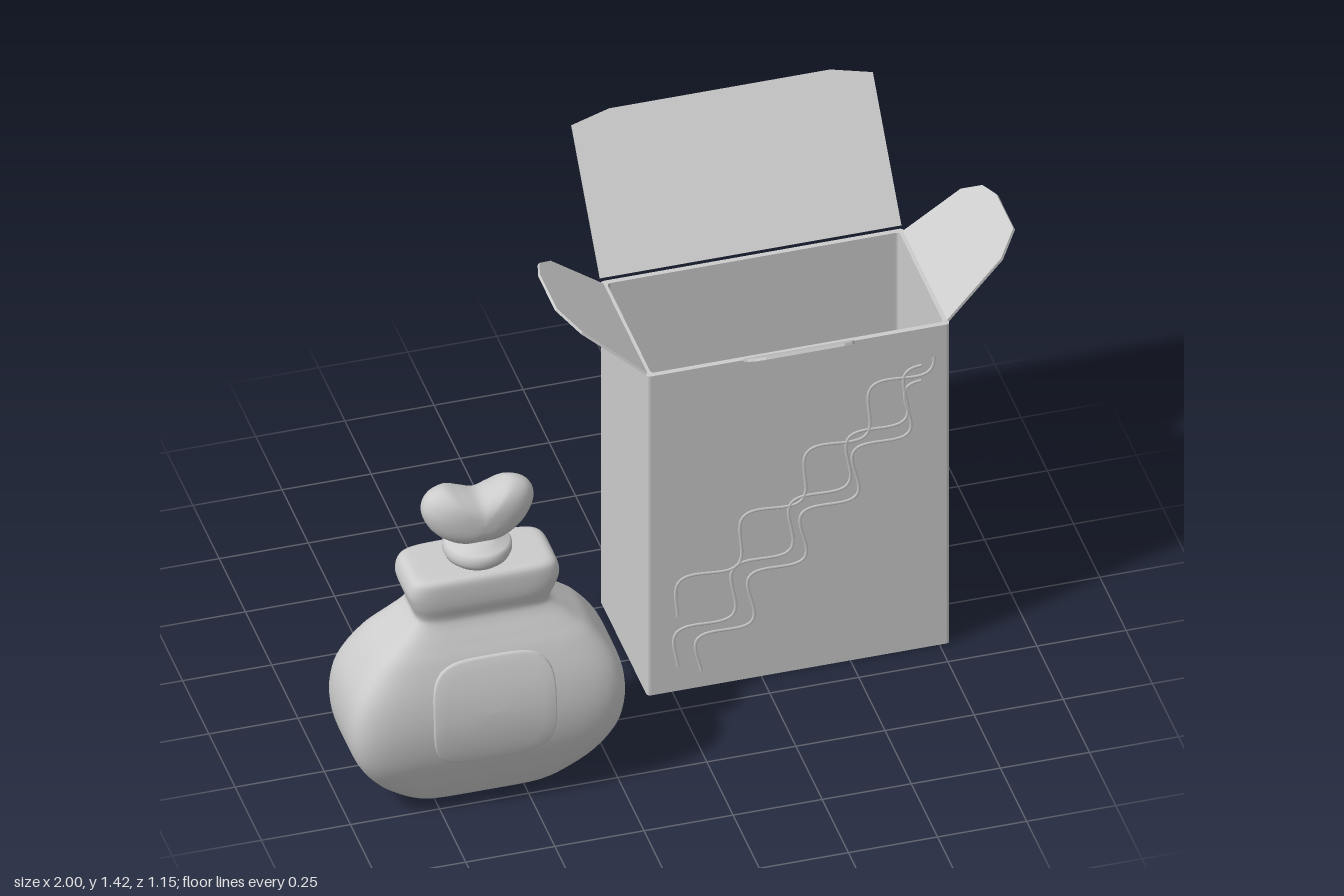
import * as THREE from 'three';

const paleGrey = new THREE.MeshStandardMaterial({ color: 0xcccccc, side: THREE.DoubleSide });
paleGrey.name = 'paleGrey';

const V = (x, y, z) => new THREE.Vector3(x, y, z);

function add(parent, geometry, name) {
  const mesh = new THREE.Mesh(geometry, paleGrey);
  mesh.name = name;
  parent.add(mesh);
  return mesh;
}

// Smooth skin over a list of closed rings with equal point counts
function loft(rings) {
  const n = rings[0].length, pos = [], idx = [];
  rings.forEach(r => r.forEach(p => pos.push(p.x, p.y, p.z)));
  for (let j = 0; j < rings.length - 1; j++) {
    for (let i = 0; i < n; i++) {
      const k = (i + 1) % n, a = j * n + i, b = j * n + k;
      idx.push(a, a + n, b, b, a + n, b + n);
    }
  }
  const g = new THREE.BufferGeometry();
  g.setAttribute('position', new THREE.Float32BufferAttribute(pos, 3));
  g.setIndex(idx);
  g.computeVertexNormals();
  return g;
}

// Unit superellipse: rounded rectangle outline
function squircle(power, count) {
  return Array.from({ length: count }, (_, i) => {
    const a = i / count * Math.PI * 2, c = Math.cos(a), s = Math.sin(a);
    const r = (Math.abs(c) ** power + Math.abs(s) ** power) ** (-1 / power);
    return [c * r, s * r];
  });
}

function roundRect(Type, x0, y0, x1, y1, r) {
  const s = new Type();
  s.moveTo(x0 + r, y0);
  s.lineTo(x1 - r, y0); s.quadraticCurveTo(x1, y0, x1, y0 + r);
  s.lineTo(x1, y1 - r); s.quadraticCurveTo(x1, y1, x1 - r, y1);
  s.lineTo(x0 + r, y1); s.quadraticCurveTo(x0, y1, x0, y1 - r);
  s.lineTo(x0, y0 + r); s.quadraticCurveTo(x0, y0, x0 + r, y0);
  return s;
}

// Horizontal slab from y0 to y1, with an optional hole
function slab(outer, hole, y0, y1) {
  const s = roundRect(THREE.Shape, ...outer);
  if (hole) s.holes.push(roundRect(THREE.Path, ...hole));
  return new THREE.ExtrudeGeometry(s, { depth: y1 - y0, bevelEnabled: false, curveSegments: 8 })
    .rotateX(-Math.PI / 2).translate(0, y0, 0);
}

// Thin card flap drawn in a tilted plane: u along the hinge, v away from it
function flap(parent, name, points, origin, u, v) {
  const shape = new THREE.Shape(points.map(p => new THREE.Vector2(...p)));
  const g = new THREE.ExtrudeGeometry(shape, { depth: 0.008, bevelEnabled: false }).translate(0, 0, -0.004);
  v.normalize();
  g.applyMatrix4(new THREE.Matrix4().makeBasis(u, v, u.clone().cross(v)).setPosition(origin));
  add(parent, g, name);
}

function makeCarton() {
  const carton = new THREE.Group();
  carton.name = 'carton';
  // Slab coordinates are (x, -z)
  add(carton, slab([-0.07, -0.17, 0.78, 0.28, 0.012], [-0.055, -0.155, 0.765, 0.265, 0.012], 0, 1.07), 'cartonWalls');
  add(carton, slab([-0.06, -0.16, 0.77, 0.27, 0.01], null, 0, 0.015), 'cartonFloor');
  add(carton, slab([-0.048, -0.148, 0.758, 0.258, 0.03], [0.01, -0.10, 0.70, 0.23, 0.09], 0.015, 0.09), 'innerTray');

  flap(carton, 'lid', [[-0.07, 0], [0.775, 0], [0.775, 0.42], [0.66, 0.447], [0.04, 0.447], [-0.07, 0.42]],
    V(0, 1.08, -0.28), V(1, 0, 0), V(0, 0.34, -0.29));
  const side = [[0.155, 0], [0.105, 0.215], [0.04, 0.284], [-0.12, 0.284], [-0.19, 0.26], [-0.24, 0.2], [-0.265, 0]];
  flap(carton, 'leftFlap', side, V(0.778, 1.07, 0), V(0, 0, 1), V(0.22, 0.18, 0));
  flap(carton, 'rightFlap', side, V(-0.068, 1.07, 0), V(0, 0, 1), V(-0.22, 0.18, 0));
  flap(carton, 'frontTab', [[0.2, 0], [0.5, 0], [0.5, 0.05], [0.485, 0.085], [0.46, 0.097], [0.24, 0.097], [0.215, 0.085], [0.2, 0.05]],
    V(0, 1.07, 0.17), V(1, 0, 0), V(0, 0.055, 0.08));

  // Wavy relief lines running up the front
  const starts = [[-0.005, 0.27, 0.715, 0.99], [-0.005, 0.10, 0.72, 0.93], [0.06, 0.07, 0.72, 0.88]];
  starts.forEach(([x0, y0, x1, y1]) => {
    const dx = x1 - x0, dy = y1 - y0, len = Math.hypot(dx, dy), pts = [];
    const waves = Math.round(len / 0.24 * 2) / 2;
    for (let i = 0; i <= 80; i++) {
      const t = i / 80, w = 0.05 * Math.sin(t * waves * Math.PI * 2 - 0.6);
      pts.push(V(x0 + dx * t - dy / len * w, y0 + dy * t + dx / len * w, 0.169));
    }
    add(carton, new THREE.TubeGeometry(new THREE.CatmullRomCurve3(pts), 160, 0.005, 6), 'wavyLine');
  });
  return carton;
}

function makeBottle() {
  const bottle = new THREE.Group();
  bottle.name = 'bottle';
  bottle.position.set(-0.613, 0, 0.392);

  // Body profile: half width, height, half depth
  const profile = new THREE.CatmullRomCurve3([
    [0.15, 0, 0.06], [0.195, 0.015, 0.078], [0.25, 0.05, 0.1], [0.315, 0.11, 0.13], [0.37, 0.2, 0.163], [0.387, 0.3, 0.175],
    [0.37, 0.4, 0.165], [0.305, 0.5, 0.135], [0.25, 0.55, 0.112], [0.197, 0.598, 0.09], [0.188, 0.615, 0.088],
    [0.203, 0.66, 0.099], [0.214, 0.7, 0.102], [0.205, 0.735, 0.1], [0.19, 0.747, 0.092], [0.16, 0.75, 0.075],
  ].map(p => V(...p))).getPoints(75);
  const outline = squircle(6, 96);
  const ring = (p, s = 1) => outline.map(([x, z]) => V(x * p.x * s, p.y, z * p.z * s));
  const first = profile[0], last = profile[profile.length - 1];
  add(bottle, loft([ring(first, 0), ring(first), ...profile.map(p => ring(p)), ring(last, 0)]), 'bottleBody');

  // Raised label following the front of the body
  const frontZ = (x, y) => {
    const i = Math.max(1, profile.findIndex(p => p.y >= y)), a = profile[i - 1], b = profile[i];
    const p = a.clone().lerp(b, (y - a.y) / (b.y - a.y));
    return p.z * (1 - Math.abs(x / p.x) ** 6) ** (1 / 6);
  };
  const labelEdge = squircle(4, 64).reverse();
  const labelRing = (s, lift) => labelEdge.map(([u, v]) => {
    const x = u * 0.172 * s, y = 0.345 + v * 0.162 * s;
    return V(x, y, frontZ(x, y) + lift);
  });
  add(bottle, loft([labelRing(1, -0.002), labelRing(1, 0.005), labelRing(0.97, 0.008),
    ...[0.8, 0.6, 0.4, 0.2, 0].map(s => labelRing(s, 0.008))]), 'label');

  // Round collar under the stopper
  const collar = [[0, 0.745], [0.075, 0.745], [0.075, 0.757], [0.088, 0.762], [0.094, 0.775], [0.094, 0.792],
    [0.087, 0.804], [0.06, 0.81], [0.05, 0.825], [0, 0.825]];
  add(bottle, new THREE.LatheGeometry(collar.map(p => new THREE.Vector2(...p)), 48), 'collar');

  // Heart-shaped stopper, puffed out front and back
  const half = [[0.06, 0.812], [0.115, 0.845], [0.147, 0.89], [0.157, 0.935], [0.14, 0.972], [0.097, 0.99], [0.05, 0.976]];
  const heart = new THREE.CatmullRomCurve3([
    [0, 0.808], ...half, [0, 0.96], ...half.slice().reverse().map(([x, y]) => [-x, y]),
  ].map(([x, y]) => V(x, y - 0.89, 0)), true).getPoints(72).slice(0, -1);
  const rings = [];
  for (let i = 0; i <= 20; i++) {
    const t = Math.PI / 2 - i / 20 * Math.PI, s = Math.max(0, Math.cos(t)) ** 0.75;
    rings.push(heart.map(p => V(p.x * s, 0.89 + p.y * s, 0.07 * Math.sin(t))));
  }
  add(bottle, loft(rings), 'stopper');
  return bottle;
}

export function createModel() {
  const model = new THREE.Group();
  model.name = 'bottleAndCarton';
  model.add(makeCarton(), makeBottle());
  return model;
}
